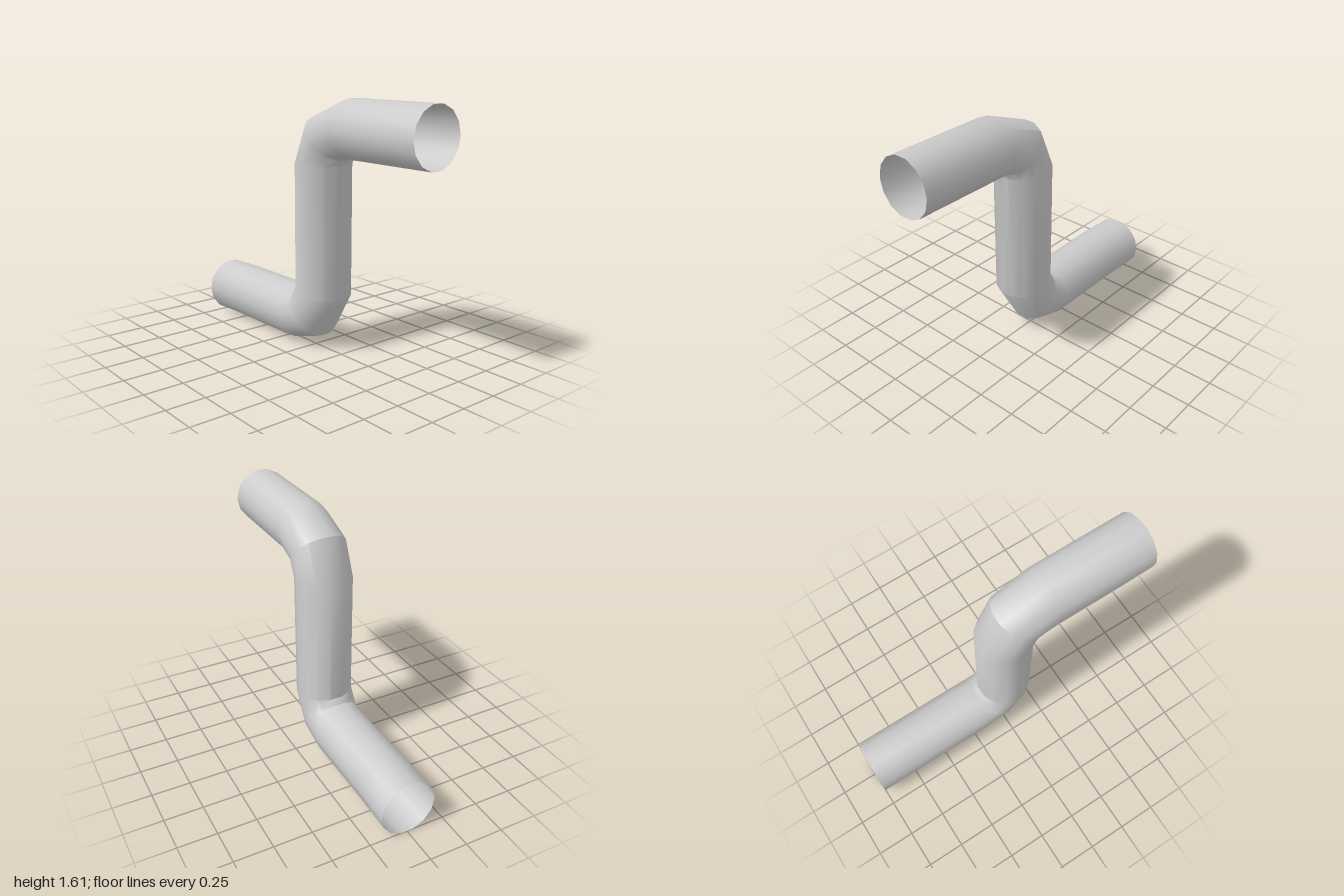
import * as THREE from 'three';
import { toCreasedNormals } from 'three/addons/utils/BufferGeometryUtils.js';

const SIDES = 14;
const RADIUS = 0.182;

// Skins a pipe over rings, each given as [z, y] of its lower flat and [z, y] of its upper flat.
function pipe(rings) {
  const pos = [], index = [];
  const flat = Math.cos(Math.PI / SIDES);
  rings.forEach(([z0, y0, z1, y1], i) => {
    for (let j = 0; j < SIDES; j++) {
      const a = (j / SIDES) * Math.PI * 2;
      const t = Math.sin(a) / flat / 2;
      pos.push(
        RADIUS * Math.cos(a),
        (y0 + y1) / 2 + t * (y1 - y0),
        (z0 + z1) / 2 + t * (z1 - z0)
      );
      if (i === 0) continue;
      const k = (j + 1) % SIDES, p = (i - 1) * SIDES, q = i * SIDES;
      index.push(p + j, q + j, p + k, p + k, q + j, q + k);
    }
  });
  const g = new THREE.BufferGeometry();
  g.setAttribute('position', new THREE.Float32BufferAttribute(pos, 3));
  g.setIndex(index);
  return toCreasedNormals(g, 0.6);
}

export function createModel() {
  const group = new THREE.Group();
  group.name = 'bentPipe';
  const material = new THREE.MeshStandardMaterial({ color: 0xcccccc, side: THREE.DoubleSide });

  const tube = new THREE.Mesh(pipe([
    // upper arm, open at the front
    [1, 1.257, 1, 1.612],
    [0.33, 1.257, 0.33, 1.612],
    // upper elbow
    [0.266, 1.239, 0.015, 1.49],
    // upright
    [0.245, 1.205, -0.108, 1.205],
    [0.245, 0.36, -0.106, 0.4],
    // lower elbow
    [0.085, 0.087, -0.135, 0.366],
    // lower arm, open at the back
    [-0.17, 0.01, -0.17, 0.367],
    [-0.74, 0.01, -0.74, 0.367],
    [-1, 0, -1, 0.357],
  ]), material);
  tube.name = 'pipe';
  group.add(tube);
  return group;
}
